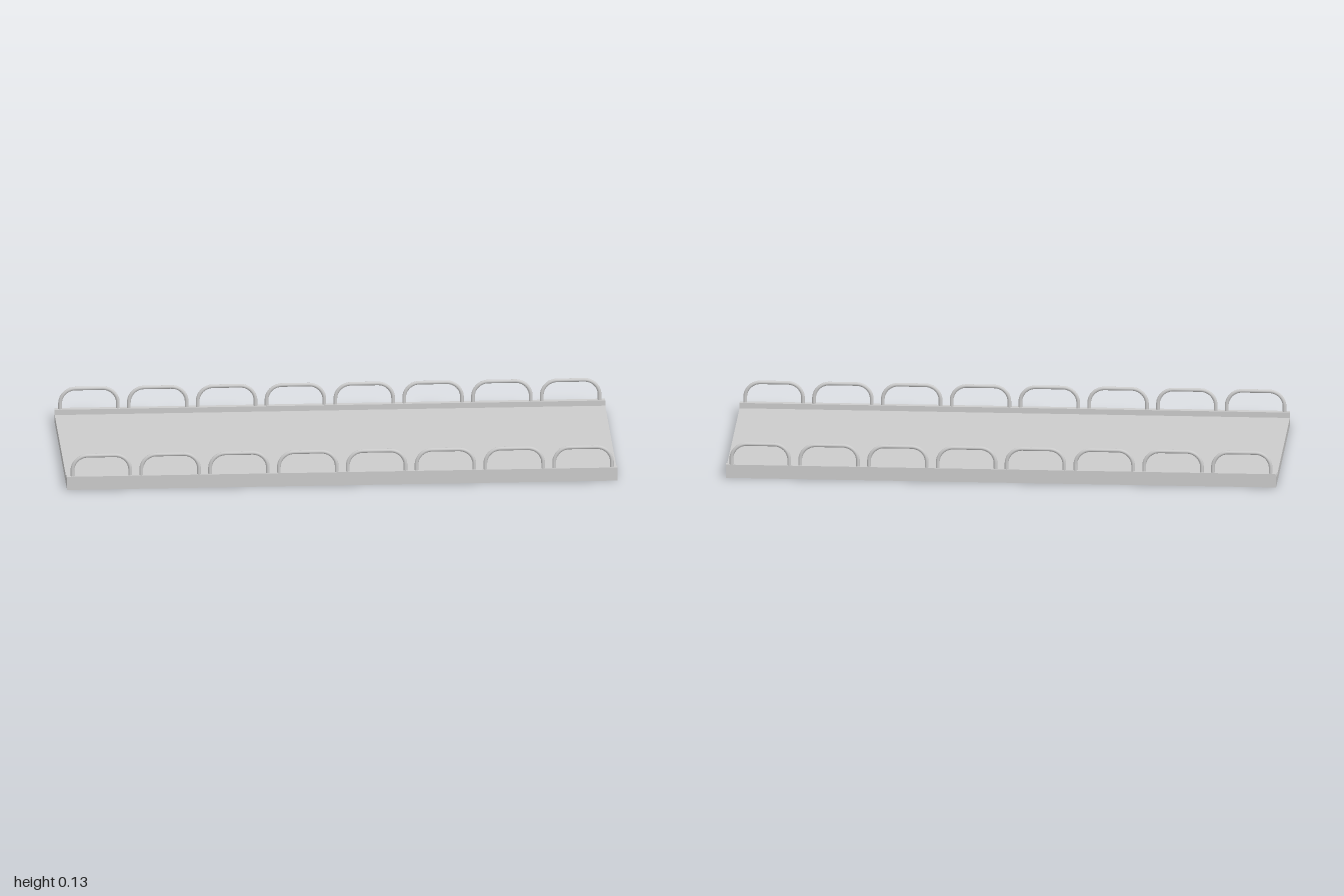
import * as THREE from 'three';

const DECK_W = 2, HALF_D = 0.41, DECK_TOP = 0.03, CURB_TOP = 0.05, CURB_T = 0.022;
const HOOPS = 8, RAIL_Z = 0.4;

// Centre line of one hoop: two legs, two rounded corners, a flat top
function hoopPath(halfW, bottom, top, r) {
  const v = (x, y) => new THREE.Vector3(x, y, 0);
  const k = r * 0.4477; // handle offset for a circular corner
  const path = new THREE.CurvePath();
  path.add(new THREE.LineCurve3(v(-halfW, bottom), v(-halfW, top - r)));
  path.add(new THREE.CubicBezierCurve3(v(-halfW, top - r), v(-halfW, top - k), v(-halfW + k, top), v(-halfW + r, top)));
  path.add(new THREE.LineCurve3(v(-halfW + r, top), v(halfW - r, top)));
  path.add(new THREE.CubicBezierCurve3(v(halfW - r, top), v(halfW - k, top), v(halfW, top - k), v(halfW, top - r)));
  path.add(new THREE.LineCurve3(v(halfW, top - r), v(halfW, bottom)));
  return path;
}

export function createModel() {
  const model = new THREE.Group();
  model.name = 'bridgeDeck';
  const material = new THREE.MeshStandardMaterial({ color: 0xcccccc });

  // Deck and both raised curbs: one U-shaped section run along x
  const inner = HALF_D - CURB_T;
  const section = new THREE.Shape([
    [-HALF_D, 0], [HALF_D, 0], [HALF_D, CURB_TOP], [inner, CURB_TOP],
    [inner, DECK_TOP], [-inner, DECK_TOP], [-inner, CURB_TOP], [-HALF_D, CURB_TOP],
  ].map(([x, y]) => new THREE.Vector2(x, y)));
  const deckGeo = new THREE.ExtrudeGeometry(section, { depth: DECK_W, bevelEnabled: false });
  deckGeo.translate(0, 0, -DECK_W / 2).rotateY(Math.PI / 2);
  const deck = new THREE.Mesh(deckGeo, material);
  deck.name = 'deckWithCurbs';
  model.add(deck);

  // Row of hoops along each curb
  const hoopGeo = new THREE.TubeGeometry(hoopPath(0.105, 0.045, 0.126, 0.056), 48, 0.0068, 12);
  const pitch = DECK_W / HOOPS;
  for (const [name, z] of [['frontRailing', RAIL_Z], ['backRailing', -RAIL_Z]]) {
    const railing = new THREE.Group();
    railing.name = name;
    for (let i = 0; i < HOOPS; i++) {
      const hoop = new THREE.Mesh(hoopGeo, material);
      hoop.name = `railHoop${i + 1}`;
      hoop.position.set(-DECK_W / 2 + pitch * (i + 0.5), 0, z);
      railing.add(hoop);
    }
    model.add(railing);
  }
  return model;
}
